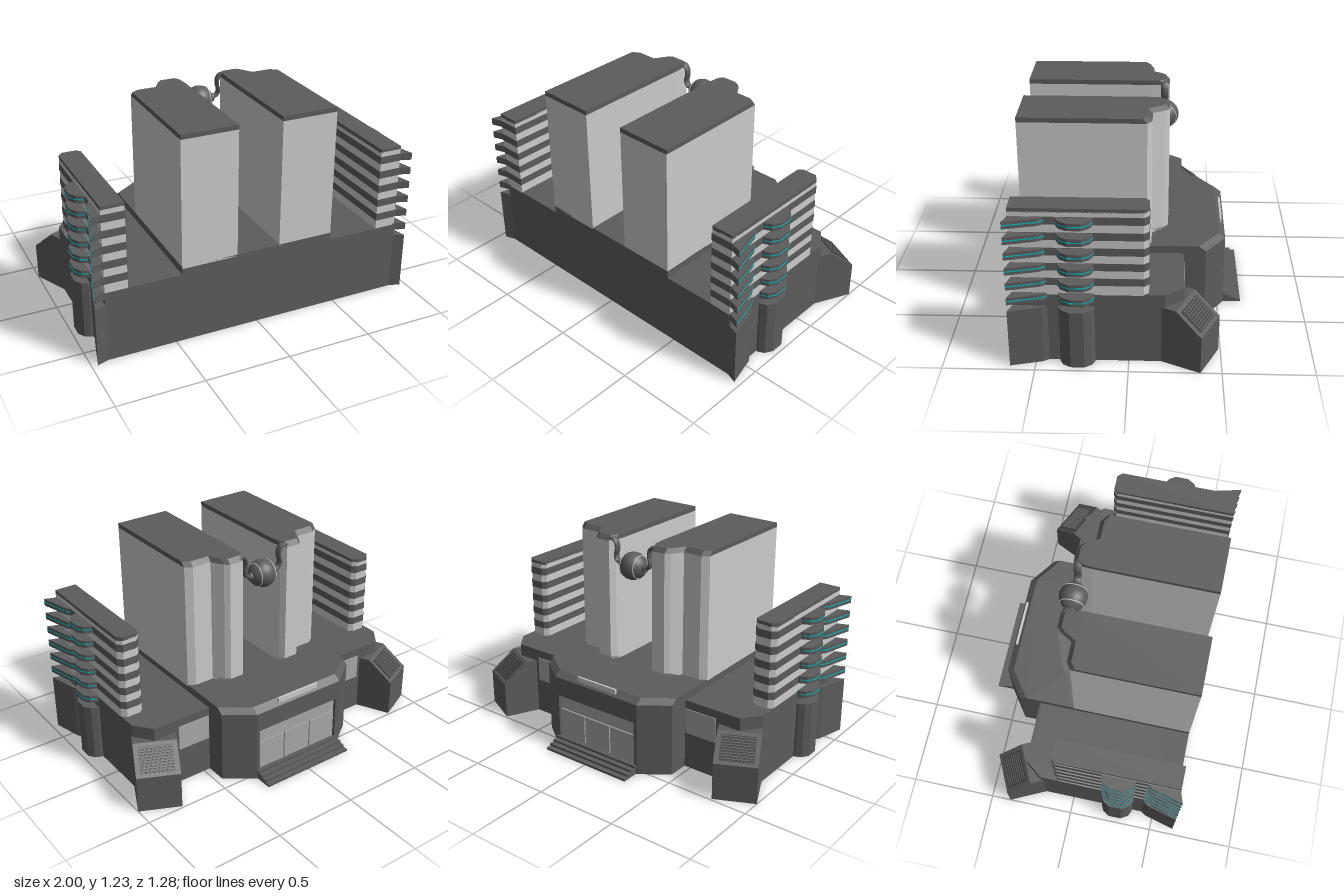
import * as THREE from 'three';

const mat = (color, flatShading = true) => new THREE.MeshStandardMaterial({ color, flatShading });
const dark = mat(0x5c5c5c), light = mat(0xcccccc), panel = mat(0xa8a8a8), slat = mat(0x3a3a3a), teal = mat(0x00b8c0);
const smoothDark = mat(0x5c5c5c, false), smoothLight = mat(0xcccccc, false);

function add(parent, name, geometry, material, x = 0, y = 0, z = 0) {
  const m = new THREE.Mesh(geometry, material);
  m.name = name;
  m.position.set(x, y, z);
  parent.add(m);
  return m;
}

// Upright prism from a plan of [x, z] points
function prism(plan, y0, y1) {
  const shape = new THREE.Shape(plan.map(([x, z]) => new THREE.Vector2(x, -z)));
  const g = new THREE.ExtrudeGeometry(shape, { depth: y1 - y0, bevelEnabled: false });
  return g.rotateX(-Math.PI / 2).translate(0, y0, 0);
}

// Pull the rear vertices at one level forward to make a sloped edge
function slopeBack(g, level, rearOf, dz) {
  const p = g.attributes.position;
  for (let i = 0; i < p.count; i++) {
    if (Math.abs(p.getY(i) - level) < 1e-4 && p.getZ(i) < rearOf) p.setZ(i, p.getZ(i) + dz);
  }
  g.computeVertexNormals();
  return g;
}

const side = (plan, s) => plan.map(([x, z]) => [s * x, z]);
const widen = (plan, d) => plan.map(([x, z]) => [x + d, z]);

const TOWER = [[0.13, 0.615], [0.46, 0.615], [0.46, -0.085], [0.42, -0.112], [0.305, -0.112],
  [0.265, -0.18], [0.24, -0.205], [0.155, -0.205], [0.135, -0.17], [0.13, -0.1]];
const WING = [[0.77, 0.615], [0.9, 0.615], [0.9, -0.08], [0.875, -0.107], [0.795, -0.107], [0.77, -0.085]];
const FLARE = [[0.88, 0.43], [0.9, 0.43], [0.92, 0.46], [0.965, 0.637], [0.9, 0.615], [0.88, 0.615]];
const BAY = [[0.88, 0.18], [0.91, 0.18], [0.945, 0.197], [0.97, 0.235], [0.97, 0.31], [0.945, 0.353], [0.91, 0.37], [0.88, 0.37]];

// Wide podium, raised centre block and recessed entrance
function podium(root) {
  const g = new THREE.Group();
  g.name = 'podium';
  root.add(g);
  add(g, 'podiumBody', prism([[-0.9, 0.615], [0.9, 0.615], [0.9, -0.19], [0.82, -0.295], [-0.82, -0.295], [-0.9, -0.19]], 0, 0.42), dark);
  const half = [[0.46, 0.615], [0.46, -0.42], [0.3, -0.535]];
  const notch = [[0.28, -0.535], [0.28, -0.51]];
  const both = (h) => [...h, ...side(h, -1).reverse()];
  add(g, 'centreBase', prism(both(half), 0, 0.05), dark);
  add(g, 'centreWalls', prism(both([...half, ...notch]), 0.05, 0.32), dark);
  add(g, 'centreLintel', prism(both(half), 0.32, 0.435), dark);
  add(g, 'centreRoof', slopeBack(prism(both(half), 0.435, 0.465), 0.465, -0.35, 0.04), dark);

  // Entrance glazing: one long upper pane and three lower ones
  add(g, 'upperPane', new THREE.BoxGeometry(0.55, 0.08, 0.02), panel, 0, 0.277, -0.512);
  for (const x of [-0.187, 0, 0.187]) add(g, 'lowerPane', new THREE.BoxGeometry(0.18, 0.177, 0.02), panel, x, 0.142, -0.512);
  add(g, 'signStrip', new THREE.BoxGeometry(0.28, 0.03, 0.012), light, 0, 0.46, -0.516);

  for (let i = 0; i < 4; i++) {
    const depth = 0.045 + i * 0.03;
    add(g, 'step', new THREE.BoxGeometry(0.59, 0.0137, depth), dark, 0, 0.048 - i * 0.0137, -0.52 - depth / 2 + 0.015);
  }
}

// Tall tower with a rear bay, sloped foot and dark roof
function tower(root, s) {
  const g = new THREE.Group();
  g.name = s > 0 ? 'leftTower' : 'rightTower';
  root.add(g);
  const plan = side(TOWER, s);
  add(g, 'towerFoot', slopeBack(prism(plan, 0.455, 0.485), 0.455, -0.15, 0.025), light);
  add(g, 'towerBody', prism(plan, 0.485, 1.205), light);
  add(g, 'towerRoof', slopeBack(prism(plan, 1.205, 1.232), 1.232, -0.05, 0.025), dark);
}

// Low banded tower with outer balconies and columns
function wing(root, s) {
  const g = new THREE.Group();
  g.name = s > 0 ? 'leftWing' : 'rightWing';
  root.add(g);
  add(g, 'wingBody', prism(side(WING, s), 0.415, 0.905), light);
  add(g, 'wingRoof', prism(side(WING, s), 0.9, 0.923), dark);
  const band = WING.map(([x, z]) => [x + (x > 0.83 ? 0.002 : -0.002), z + (z > 0 ? 0.002 : -0.002)]);
  for (const plan of [FLARE, BAY]) add(g, 'column', prism(side(plan, s), 0, 0.345), dark);
  for (let i = 0; i < 6; i++) {
    const y = 0.405 + i * 0.09;
    if (i > 0) add(g, 'band', prism(side(band, s), y - 0.022, y + 0.022), dark);
    for (const plan of [FLARE, BAY]) {
      add(g, 'balcony', prism(side(plan, s), y - 0.021, y + 0.021), dark);
      add(g, 'lightStrip', prism(side(widen(plan, 0.002), s), y - 0.003, y + 0.003), teal);
    }
  }
}

// Angled corner block with a louvred slope
function cornerBlock(root, s) {
  const g = new THREE.Group();
  g.name = s > 0 ? 'leftCornerBlock' : 'rightCornerBlock';
  g.position.set(s * 0.89, 0, -0.437);
  g.rotation.y = s * (Math.PI - 0.445);
  root.add(g);
  const profile = [[0, 0], [0.24, 0], [0.24, 0.345], [0.15, 0.345], [0, 0.22]].map((p) => new THREE.Vector2(...p));
  const body = new THREE.ExtrudeGeometry(new THREE.Shape(profile), { depth: 0.244, bevelEnabled: false });
  add(g, 'blockBody', body.rotateY(Math.PI / 2).translate(-0.122, 0, 0), dark);
  const louvre = new THREE.Group();
  louvre.name = 'louvre';
  louvre.position.set(0, 0.2825, -0.075);
  louvre.rotation.x = Math.atan2(0.125, 0.15);
  g.add(louvre);
  add(louvre, 'louvreBack', new THREE.BoxGeometry(0.19, 0.004, 0.15), slat);
  for (let i = 0; i < 9; i++) add(louvre, 'slat', new THREE.BoxGeometry(0.18, 0.008, 0.006), dark, 0, 0.003, -0.064 + i * 0.016);
  // rear windows beside the block
  add(root, 'rearWindow', new THREE.BoxGeometry(0.2, 0.15, 0.008), panel, s * 0.565, 0.295, -0.296);
}

// Sphere held between the towers by two curved arms
function sphere(root) {
  const g = new THREE.Group();
  g.name = 'suspendedSphere';
  g.position.set(0, 1.08, -0.175);
  root.add(g);
  add(g, 'ball', new THREE.SphereGeometry(0.081, 32, 20).rotateZ(Math.PI / 2), smoothDark);
  for (const s of [1, -1]) {
    add(g, 'ring', new THREE.TorusGeometry(0.067, 0.003, 6, 40).rotateY(Math.PI / 2), smoothLight, s * 0.047);
    const path = [[0.17, 0.135], [0.135, 0.133], [0.118, 0.11], [0.116, 0.075], [0.124, 0.04], [0.112, 0.012], [0.07, 0]];
    const curve = new THREE.CatmullRomCurve3(path.map(([x, y]) => new THREE.Vector3(s * x, y, 0)));
    const arm = new THREE.TubeGeometry(curve, 28, 0.011, 8).scale(1, 1, 2);
    add(g, 'arm', arm, smoothDark);
    add(g, 'socket', new THREE.CylinderGeometry(0.024, 0.024, 0.02, 16).rotateZ(Math.PI / 2), dark, s * 0.08);
  }
}

export function createModel() {
  const root = new THREE.Group();
  root.name = 'towerComplex';
  podium(root);
  for (const s of [1, -1]) {
    tower(root, s);
    wing(root, s);
    cornerBlock(root, s);
  }
  sphere(root);
  return root;
}
